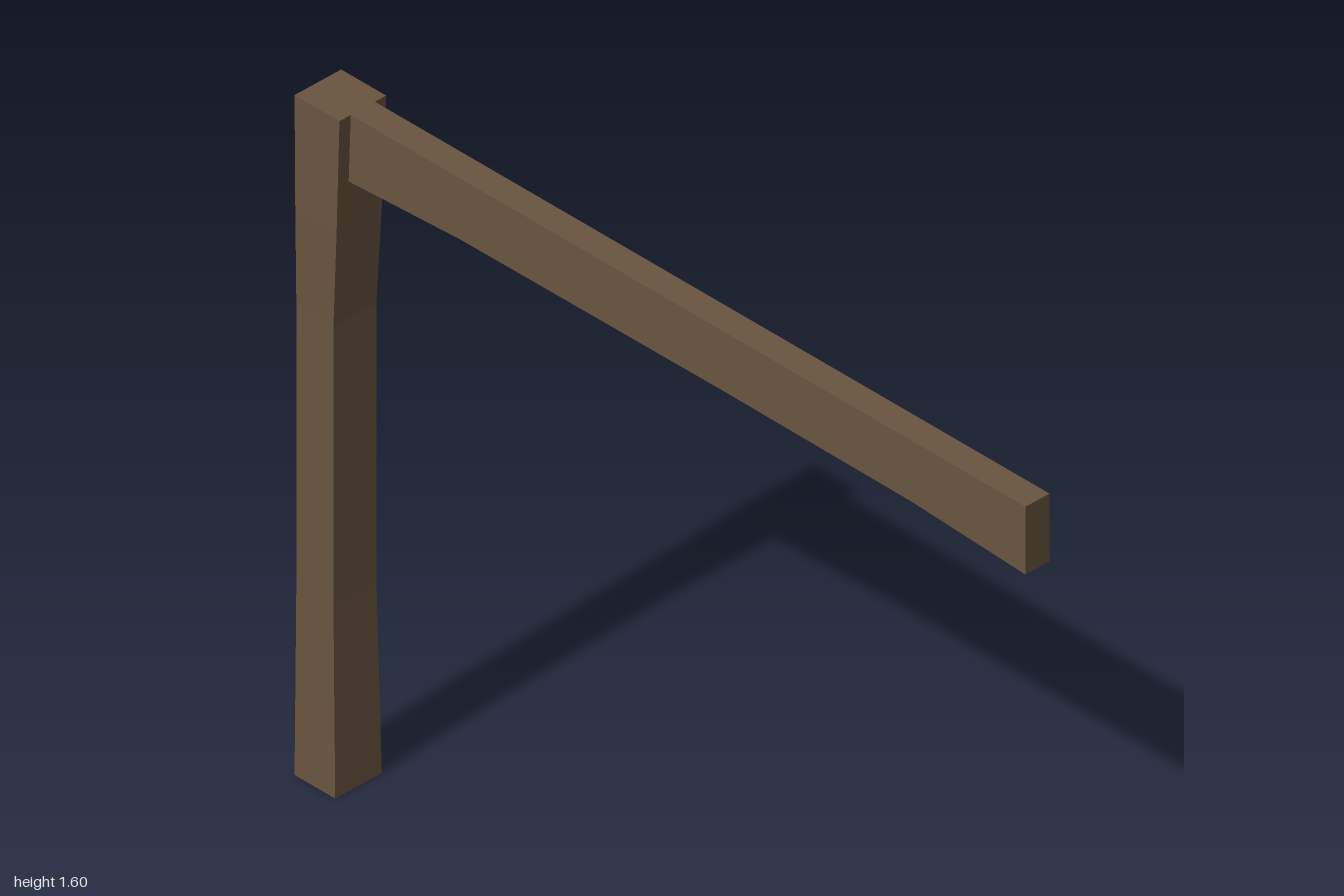
import * as THREE from 'three';

const TOP = 1.595;

// Square post, slightly waisted: each station is [y, inner x, half depth]
function postGeometry() {
  const stations = [
    [0, -0.887, 0.063], [0.45, -0.897, 0.058], [1.1, -0.897, 0.058],
    [1.33, -0.885, 0.061], [TOP, -0.875, 0.063],
  ];
  const n = stations.length - 1;
  const geometry = new THREE.BoxGeometry(1, 1, 1, 1, n, 1);
  const p = geometry.attributes.position;
  for (let i = 0; i < p.count; i++) {
    const [y, inner, half] = stations[Math.round((p.getY(i) + 0.5) * n)];
    p.setXYZ(i, p.getX(i) < 0 ? -1 : inner, y, Math.sign(p.getZ(i)) * half);
  }
  geometry.computeVertexNormals();
  return geometry;
}

// Beam with a flat top and a shallow arched underside
function beamGeometry() {
  const outline = [
    [-0.885, TOP], [-0.885, 1.436], [-0.57, 1.452], [0.15, 1.455],
    [0.68, 1.452], [1, 1.436], [1, TOP],
  ].map(([x, y]) => new THREE.Vector2(x, y));
  const depth = 0.065;
  const geometry = new THREE.ExtrudeGeometry(new THREE.Shape(outline), { depth, bevelEnabled: false });
  return geometry.translate(0, 0, -depth / 2);
}

export function createModel() {
  const group = new THREE.Group();
  group.name = 'postAndBeam';
  const wood = new THREE.MeshStandardMaterial({ color: 0x6a5540, flatShading: true });
  wood.name = 'brown wood';

  const add = (name, geometry) => {
    const mesh = new THREE.Mesh(geometry, wood);
    mesh.name = name;
    group.add(mesh);
  };
  add('post', postGeometry());
  add('beam', beamGeometry());
  return group;
}
